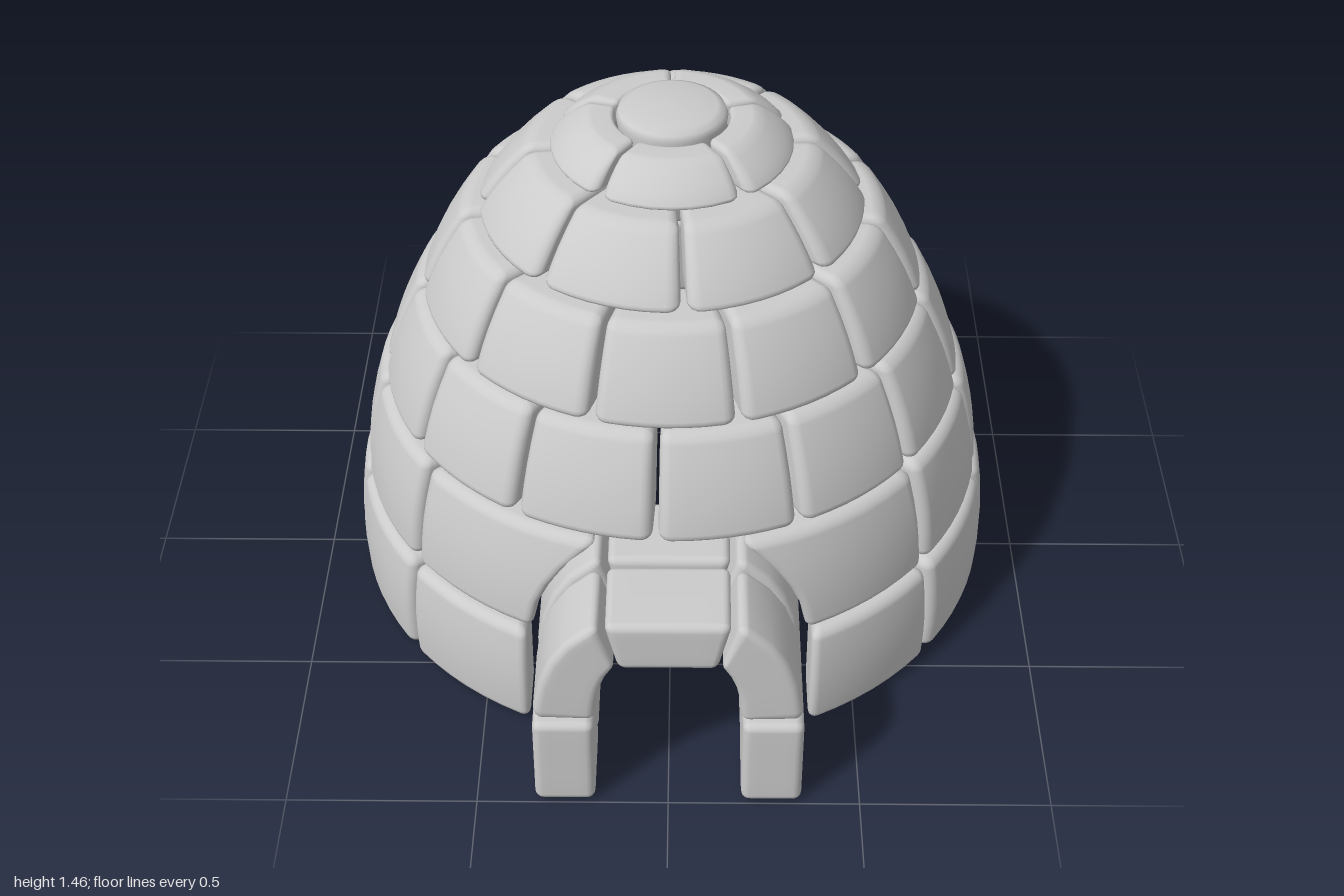
import * as THREE from 'three';
import { mergeVertices } from 'three/addons/utils/BufferGeometryUtils.js';

const DOME_Z = -0.1;
const DOOR_ANGLE = 0.424; // half of the arc left open for the doorway
const lerp = THREE.MathUtils.lerp;
const material = new THREE.MeshStandardMaterial({ color: 0xcccccc });

// Grid line positions: two lines inside each rounded margin, the rest even.
function gridLine(t, size, segs, r) {
  const i = Math.round(t * segs), half = size / 2;
  if (i > segs / 2) return -gridLine(1 - t, size, segs, r);
  if (i === 0) return -half;
  if (i === 1) return -half + r * 0.586;
  return lerp(-half + r, half - r, (i - 2) / (segs - 4));
}

// Rounded block of nominal size w, h, d; warp maps (u, v, t) in 0..1 to a point.
function block(name, [w, h, d], warp, r) {
  const segs = [10, 8, 6], size = [w, h, d];
  let geo = new THREE.BoxGeometry(1, 1, 1, ...segs);
  geo.deleteAttribute('normal');
  geo.deleteAttribute('uv');
  const pos = geo.attributes.position;
  const p = new THREE.Vector3(), core = new THREE.Vector3(), off = new THREE.Vector3();
  const lim = new THREE.Vector3(w / 2 - r, h / 2 - r, d / 2 - r);
  const low = lim.clone().negate();
  for (let i = 0; i < pos.count; i++) {
    p.fromArray([0, 1, 2].map(k => gridLine(pos.getComponent(i, k) + 0.5, size[k], segs[k], r)));
    core.copy(p).clamp(low, lim);
    off.subVectors(p, core).setLength(r);
    p.addVectors(core, off);
    pos.setXYZ(i, ...warp(p.x / w + 0.5, p.y / h + 0.5, p.z / d + 0.5));
  }
  geo = mergeVertices(geo, 1e-5);
  geo.computeVertexNormals();
  const mesh = new THREE.Mesh(geo, material);
  mesh.name = name;
  return mesh;
}

// Courses of the dome: heights, outer radii, thickness at foot and top, block count,
// angle of the first seam; jamb gives the doorway edge x at foot and top.
const COURSES = [
  { y0: 0.01, y1: 0.328, r0: 0.9, r1: 0.885, t0: 0.17, t1: 0.17, n: 11, seam: DOOR_ANGLE, jamb: [0.375, 0.375] },
  { y0: 0.334, y1: 0.646, r0: 0.872, r1: 0.815, t0: 0.17, t1: 0.17, n: 11, seam: DOOR_ANGLE, jamb: [0.355, 0.17] },
  { y0: 0.645, y1: 0.924, r0: 0.802, r1: 0.695, t0: 0.17, t1: 0.17, n: 13, seam: -0.045 },
  { y0: 0.922, y1: 1.165, r0: 0.685, r1: 0.56, t0: 0.175, t1: 0.175, n: 11, seam: Math.PI / 11 - 0.018 },
  { y0: 1.164, y1: 1.346, r0: 0.525, r1: 0.38, t0: 0.18, t1: 0.17, n: 8, seam: 0.07 },
  { y0: 1.343, y1: 1.436, r0: 0.33, r1: 0.225, t0: 0.165, t1: 0.075, n: 5, seam: Math.PI / 5 },
];

function course(c, index) {
  const group = new THREE.Group();
  group.name = `domeCourse${index + 1}`;
  const step = (Math.PI * 2 - (c.jamb ? 2 * DOOR_ANGLE : 0)) / c.n;
  const rMid = (c.r0 + c.r1) / 2, gap = 0.007 / rMid, thick = (c.t0 + c.t1) / 2;
  const size = [(step - 2 * gap) * (rMid - thick / 2), Math.hypot(c.y1 - c.y0, c.r0 - c.r1), thick];
  for (let i = 0; i < c.n; i++) {
    group.add(block('domeBlock', size, (u, v, t) => {
      const bulge = 0.012 * Math.sin(Math.PI * THREE.MathUtils.clamp(v, 0, 1)) * t;
      const r = lerp(c.r0, c.r1, v) - lerp(c.t0, c.t1, v) * (1 - t) + bulge;
      let start = c.seam + i * step + gap, end = c.seam + (i + 1) * step - gap;
      if (c.jamb) {
        // doorway edges are cut straight back and follow the arch
        const edge = Math.asin(lerp(c.jamb[0], c.jamb[1], v * v) / r);
        if (i === 0) start = edge;
        if (i === c.n - 1) end = Math.PI * 2 - edge;
      }
      const a = lerp(start, end, u);
      return [Math.sin(a) * r, lerp(c.y0, c.y1, v), Math.cos(a) * r + DOME_Z];
    }, Math.min(0.028, (c.y1 - c.y0) * 0.25)));
  }
  return group;
}

// One arch of the entrance: two piers, two curved shoulders and a lintel.
function arch(name, z0, z1) {
  const group = new THREE.Group();
  group.name = name;
  const d = z1 - z0, round = 0.022;
  const curve = (...pts) => new THREE.QuadraticBezierCurve(...pts.map(q => new THREE.Vector2(...q)));
  const inner = curve([0.185, 0.31], [0.185, 0.44], [0.132, 0.5]);
  const outer = curve([0.345, 0.31], [0.335, 0.555], [0.178, 0.642]);
  for (const side of [1, -1]) {
    const across = u => (side > 0 ? u : 1 - u);
    group.add(block('entrancePier', [0.158, 0.28, d], (u, v, t) =>
      [side * lerp(0.19, 0.348, across(u)), lerp(0.01, 0.292, v), lerp(z0, z1, t)], round));
    group.add(block('archShoulder', [0.15, 0.28, d], (u, v, t) => {
      const q = inner.getPoint(v).lerp(outer.getPoint(v), across(u));
      return [side * q.x, q.y, lerp(z0, z1, t)];
    }, round));
  }
  group.add(block('archLintel', [0.29, 0.15, d], (u, v, t) =>
    [(u - 0.5) * lerp(0.25, 0.32, v), lerp(0.495, 0.645, v), lerp(z0, z1, t)], round));
  return group;
}

export function createModel() {
  const model = new THREE.Group();
  model.name = 'igloo';
  COURSES.forEach((c, i) => model.add(course(c, i)));

  // round plug closing the top
  const profile = [[0, 1.36], [0.12, 1.36], [0.135, 1.375], [0.142, 1.4], [0.147, 1.435],
    [0.14, 1.453], [0.12, 1.462], [0.06, 1.469], [0, 1.471]].map(q => new THREE.Vector2(...q));
  const cap = new THREE.Mesh(new THREE.LatheGeometry(profile, 40), material);
  cap.name = 'capBlock';
  cap.position.z = DOME_Z;
  model.add(cap);

  model.add(arch('outerArch', 0.77, 0.995), arch('innerArch', 0.53, 0.755));
  return model;
}
